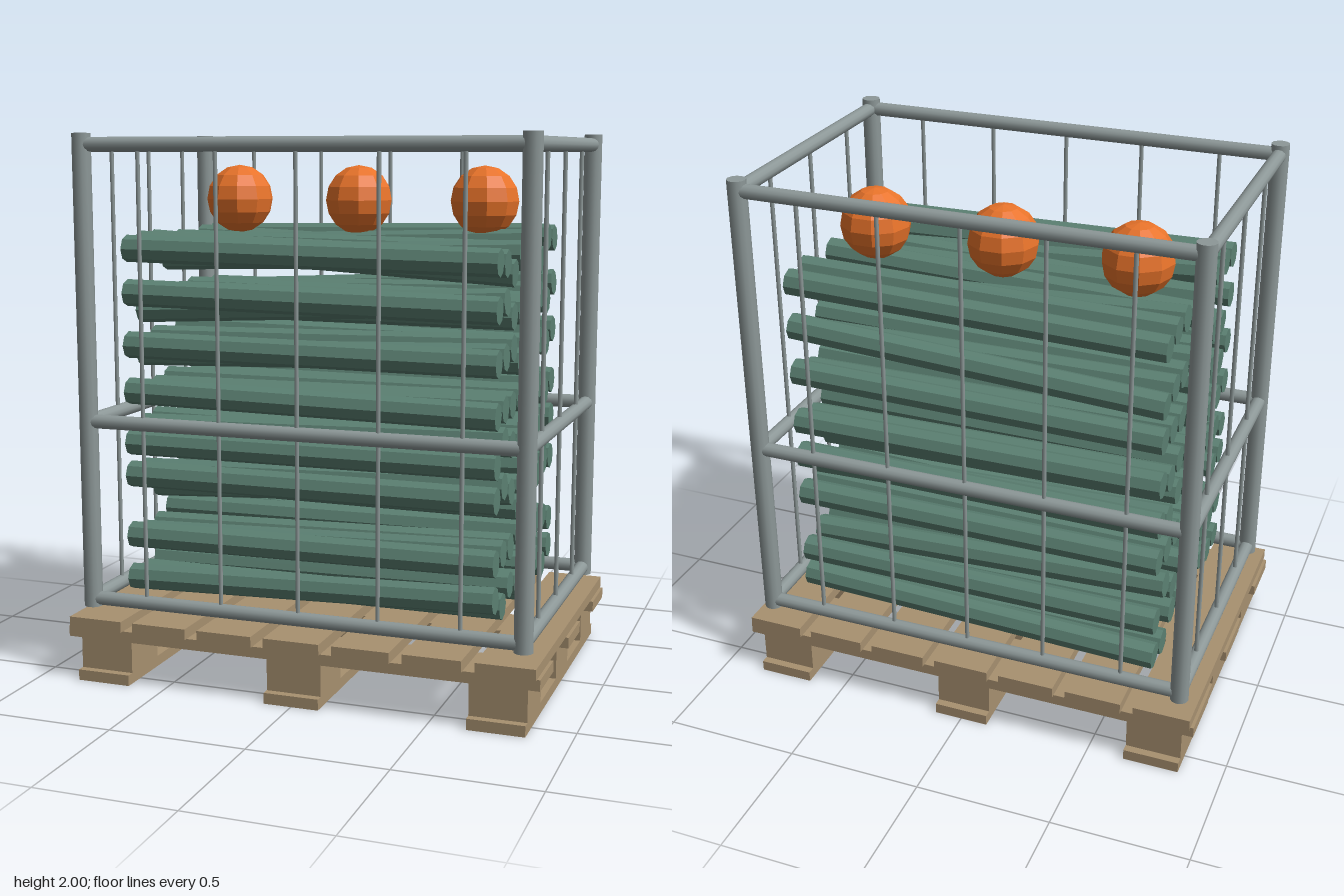
import * as THREE from 'three';

const mat = (color, flatShading = false) => new THREE.MeshStandardMaterial({ color, flatShading });

export function createModel() {
  const model = new THREE.Group();
  const wood = mat(0xa89170);
  const steel = mat(0x8d9898);
  const green = mat(0x5b8072, true);
  const orange = mat(0xe8732a, true);

  const group = (name) => {
    const g = new THREE.Group();
    g.name = name;
    model.add(g);
    return g;
  };
  const box = (parent, name, w, h, d, x, y, z) => {
    const m = new THREE.Mesh(new THREE.BoxGeometry(w, h, d), wood);
    m.name = name;
    m.position.set(x, y, z);
    parent.add(m);
  };
  // Cylinder stretched between two points
  const rod = (parent, name, a, b, radius, sides, material) => {
    const from = new THREE.Vector3(...a), to = new THREE.Vector3(...b);
    const dir = to.clone().sub(from);
    const m = new THREE.Mesh(new THREE.CylinderGeometry(radius, radius, dir.length(), sides), material);
    m.name = name;
    m.position.copy(from).add(to).multiplyScalar(0.5);
    m.quaternion.setFromUnitVectors(new THREE.Vector3(0, 1, 0), dir.normalize());
    parent.add(m);
  };

  // Pallet: deck slats, cross boards, blocks and skids
  const pallet = group('pallet');
  for (let i = -3; i <= 3; i++) box(pallet, 'deckSlat', 0.21, 0.04, 1.19, i * 0.257, 0.22, 0);
  for (const i of [-1, 0, 1]) {
    box(pallet, 'crossBoard', 1.775, 0.04, 0.21, 0, 0.18, i * 0.474);
    box(pallet, 'skid', 0.205, 0.04, 1.19, i * 0.741, 0.02, 0);
    for (const k of [-1, 0, 1]) box(pallet, 'block', 0.205, 0.12, 0.206, i * 0.741, 0.1, k * 0.462);
  }

  // Cage: corner posts, three levels of rails and thin bars
  const cage = group('cage');
  const X = 0.815, Z = 0.52;
  for (const s of [-1, 1]) {
    for (const t of [-1, 1]) rod(cage, 'post', [s * X, 0.27, t * Z], [s * X, 2, t * Z], 0.034, 12, steel);
    for (const y of [0.3, 0.965, 1.96]) {
      rod(cage, 'longRail', [-X, y, s * Z], [X, y, s * Z], 0.026, 12, steel);
      rod(cage, 'shortRail', [s * X, y, -Z], [s * X, y, Z], 0.026, 12, steel);
    }
    for (let i = -2; i <= 2; i++) rod(cage, 'longSideBar', [i * 0.297, 0.3, s * Z], [i * 0.297, 1.96, s * Z], 0.008, 8, steel);
    for (let i = -1; i <= 1; i++) rod(cage, 'shortSideBar', [s * X, 0.3, i * 0.297], [s * X, 1.96, i * 0.297], 0.008, 8, steel);
  }

  // Poles: height of the +x end (cm) for each layer, front to back
  const ends = [
    [41, 36, 41, 39, 34, 40, 40, 35, 40],
    [54, 55, 55, 58, 55, 57, 55, 54, 51],
    [76, 79, 75, 67, 72, 78, 73, 76, 76],
    [88, 95, 92, 91, 92, 92, 91, 84, 92],
    [105, 106, 106, 107, 106, 104, 107, 103, 106],
    [123, 124, 126, 120, 124, 128, 124, 122, 126],
    [141, 143, 137, 138, 138, 138, 141, 138, 144],
    [157, 156, 152, 158, 157, 161, 154, 162, 161],
  ];
  // Rise (cm) towards the -x end
  const tilts = [
    [-4, 0, -2, -3, 0, 2, 2, 0, -4],
    [-1, -4, -3, -1, 3, 0, -2, 6, 0],
    [0, -4, -7, 1, -1, -6, 3, -1, 0],
    [0, -3, 1, -6, 1, -1, 2, 4, -1],
    [2, -1, -1, 0, -4, 1, -1, 1, 1],
    [1, -4, -2, 1, 2, -7, -2, 1, -2],
    [2, -7, 1, 1, 1, 2, -2, 1, -7],
    [2, 4, 8, -4, 2, -4, 6, -2, -3],
  ];
  const poles = group('poles');
  ends.forEach((row, r) => row.forEach((h, c) => {
    const z = 0.428 - c * 0.107;
    rod(poles, 'pole', [-0.693, (h + tilts[r][c]) / 100, z], [0.693, h / 100, z], 0.049, 8, green);
  }));

  // Faceted balls lying on the stack
  const balls = group('balls');
  for (const x of [-0.49, 0, 0.49]) {
    const ball = new THREE.Mesh(new THREE.SphereGeometry(0.13, 10, 8), orange);
    ball.name = 'ball';
    ball.position.set(x, 1.755, -0.135);
    balls.add(ball);
  }
  return model;
}
